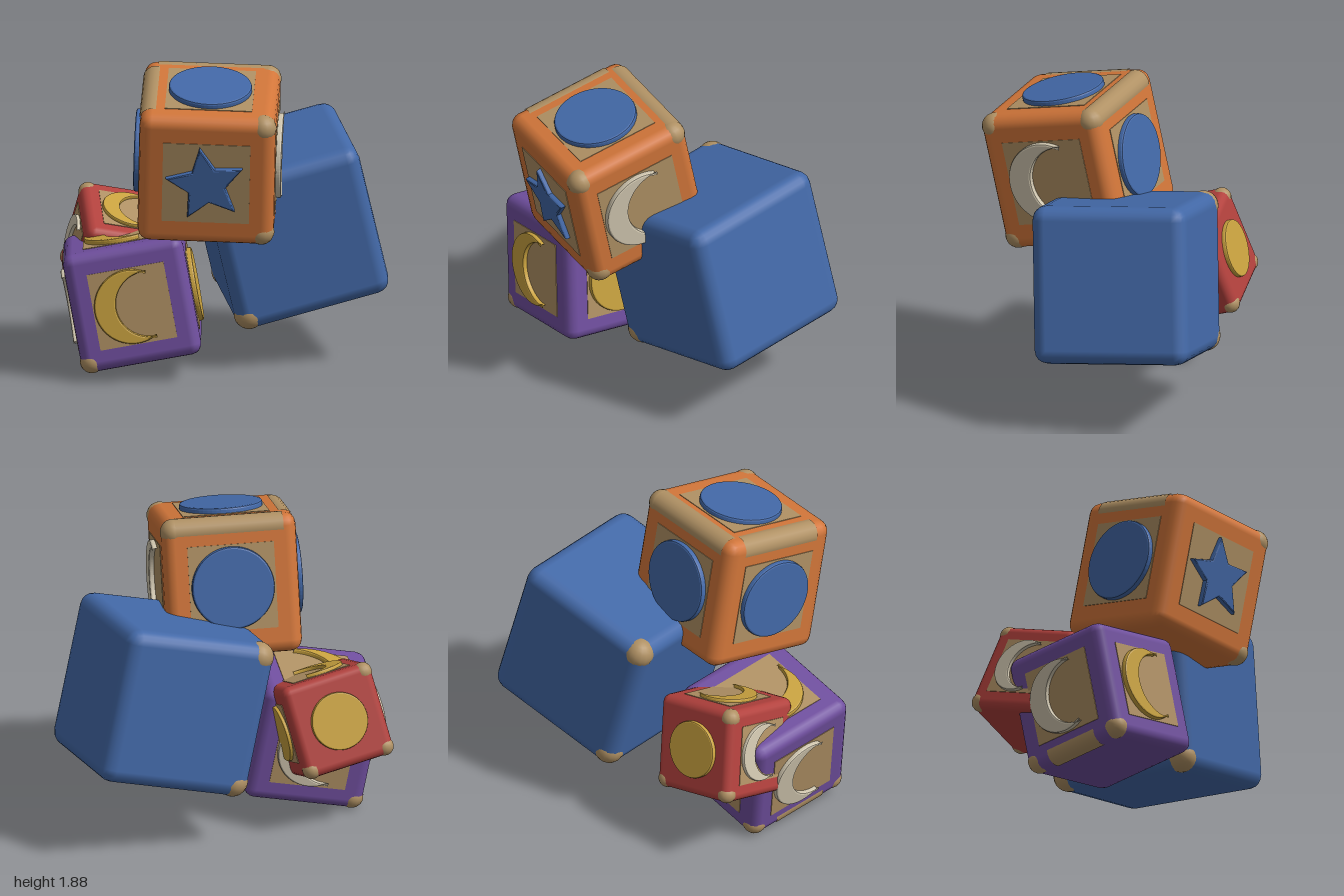
import * as THREE from 'three';
import { RoundedBoxGeometry } from 'three/addons/geometries/RoundedBoxGeometry.js';

const paint = (name, color) => {
  const m = new THREE.MeshStandardMaterial({ color });
  m.name = name;
  return m;
};

// Turns that point a decoration's +z out of each face of a block
const FACES = {
  front: [0, 0, 2], back: [0, Math.PI, 2],
  right: [0, Math.PI / 2, 0], left: [0, -Math.PI / 2, 0],
  top: [-Math.PI / 2, 0, 1],
};

// Crescent, disc and star outlines, all for a block of unit size
function moonShape() {
  const R = 0.31, c = 0.456 * R, r = 0.876 * R, tip = 1.065;
  const s = new THREE.Shape();
  s.absarc(0, 0, R, tip, Math.PI * 2 - tip, false);
  const a = Math.atan2(R * Math.sin(tip), R * Math.cos(tip) - c);
  s.absarc(c, 0, r, Math.PI * 2 - a, a, true);
  return s;
}

function discShape() {
  return new THREE.Shape().absarc(0, 0, 0.305, 0, Math.PI * 2, false);
}

function starShape() {
  const pts = [];
  for (let i = 0; i < 10; i++) {
    const a = Math.PI / 2 + 0.17 + i * Math.PI / 5, r = i % 2 ? 0.145 : 0.3;
    pts.push(new THREE.Vector2(r * Math.cos(a), r * Math.sin(a)));
  }
  return new THREE.Shape(pts);
}

const OUTLINES = { moon: moonShape, disc: discShape, star: starShape };

function emblemGeometry(kind, size) {
  const g = new THREE.ExtrudeGeometry(OUTLINES[kind](), {
    depth: 0.03, curveSegments: 28, bevelEnabled: true,
    bevelThickness: 0.014, bevelSize: 0.014, bevelOffset: -0.014, bevelSegments: 2,
  });
  return g.scale(size, size, size);
}

function add(parent, name, geometry, material) {
  const mesh = new THREE.Mesh(geometry, material);
  mesh.name = name;
  parent.add(mesh);
  return mesh;
}

export function createModel() {
  const mats = {
    orange: paint('orange paint', 0xd2763a),
    blue: paint('blue paint', 0x4369a8),
    purple: paint('purple paint', 0x704f9f),
    red: paint('red paint', 0xb2413d),
    yellow: paint('yellow paint', 0xc9a23f),
    cream: paint('cream paint', 0xcfc5ae),
    wood: paint('bare wood', 0xb09164),
  };
  const model = new THREE.Group();
  model.name = 'toyBlocks';

  function block({ name, color, size, at, x, y, faces = {}, bare = [], corners = [], edges = [] }) {
    const group = new THREE.Group();
    group.name = name;
    const s = (size[0] + size[1] + size[2]) / 3, r = s * 0.09;
    add(group, name + 'Body', new RoundedBoxGeometry(...size, 2, r), mats[color]);

    // Wooden panel with a raised emblem on each decorated face
    for (const [face, [kind, tint]] of Object.entries(faces)) {
      const [rx, ry, axis] = FACES[face];
      const side = new THREE.Group();
      side.name = face + 'Decoration';
      side.rotation.set(rx, ry, 0);
      side.position.set(0, 0, size[axis] / 2).applyEuler(
        new THREE.Euler(rx, ry, 0));
      if (!bare.includes(face)) {
        add(side, 'panel', new THREE.BoxGeometry(s * 0.64, s * 0.64, 0.008), mats.wood);
      }
      add(side, kind, emblemGeometry(kind, s), mats[tint]);
      group.add(side);
    }

    // Worn corners
    for (const c of corners) {
      const m = add(group, 'wornCorner', new THREE.SphereGeometry(r + 0.006, 16, 12), mats.wood);
      m.position.set(...c.map((sign, i) => sign * (size[i] / 2 - r)));
    }

    // Worn edges, each between two faces given by their normals
    for (const [a, b, share] of edges) {
      const u = new THREE.Vector3(...a), v = new THREE.Vector3(...b);
      const axis = v.clone().cross(u);
      const dims = new THREE.Vector3(...size);
      const length = Math.abs(axis.dot(dims)) * share;
      const g = new THREE.CylinderGeometry(r + 0.006, r + 0.006, length, 6, 1, true, -0.25, Math.PI / 2 + 0.5);
      g.applyMatrix4(new THREE.Matrix4().makeBasis(u, axis, v));
      const m = add(group, 'wornEdge', g, mats.wood);
      m.position.copy(u).add(v).multiply(dims.multiplyScalar(0.5).subScalar(r));
    }

    // Orientation from the block's own right and up directions
    const X = new THREE.Vector3(...x).normalize();
    const Z = X.clone().cross(new THREE.Vector3(...y)).normalize();
    const Y = Z.clone().cross(X);
    group.quaternion.setFromRotationMatrix(new THREE.Matrix4().makeBasis(X, Y, Z));
    group.position.set(...at);
    model.add(group);
  }

  block({
    name: 'orangeBlock', color: 'orange', size: [0.82, 0.85, 0.8],
    at: [0.02, 1.37, 0.38], x: [0.974, -0.028, -0.225], y: [0.06, 0.975, 0.2],
    faces: {
      front: ['star', 'blue'], back: ['disc', 'blue'], left: ['disc', 'blue'],
      top: ['disc', 'blue'], right: ['moon', 'cream'],
    },
    corners: [[1, 1, 1], [1, -1, 1], [1, 1, -1]],
    edges: [[[-1, 0, 0], [0, 1, 0], 0.7], [[0, 0, -1], [0, 1, 0], 0.8]],
  });

  block({
    name: 'purpleBlock', color: 'purple', size: [0.735, 0.735, 0.735],
    at: [-0.465, 0.44, 0.36], x: [0.95, 0.18, -0.27], y: [-0.175, 0.98, -0.04],
    faces: {
      front: ['moon', 'yellow'], right: ['disc', 'yellow'], top: ['moon', 'yellow'],
      left: ['moon', 'cream'], back: ['moon', 'cream'],
    },
    corners: [[-1, -1, 1], [-1, -1, -1]],
    edges: [[[-1, 0, 0], [0, -1, 0], 0.5]],
  });

  block({
    name: 'redBlock', color: 'red', size: [0.575, 0.575, 0.575],
    at: [-0.635, 0.614, 0.03], x: [0.895, -0.2, -0.4], y: [0.299, 0.932, 0.202],
    faces: {
      back: ['disc', 'yellow'], top: ['moon', 'yellow'], left: ['moon', 'cream'],
      right: ['disc', 'yellow'],
    },
    bare: ['back'],
    corners: [[-1, 1, -1], [-1, -1, -1], [1, -1, -1]],
  });

  block({
    name: 'blueBlock', color: 'blue', size: [0.96, 0.96, 0.96],
    at: [0.333, 0.837, -0.23], x: [0.885, 0.235, -0.4], y: [-0.19, 0.966, 0.165],
    corners: [[-1, -1, 1], [-1, 1, -1], [-1, -1, -1]],
  });

  return model;
}
